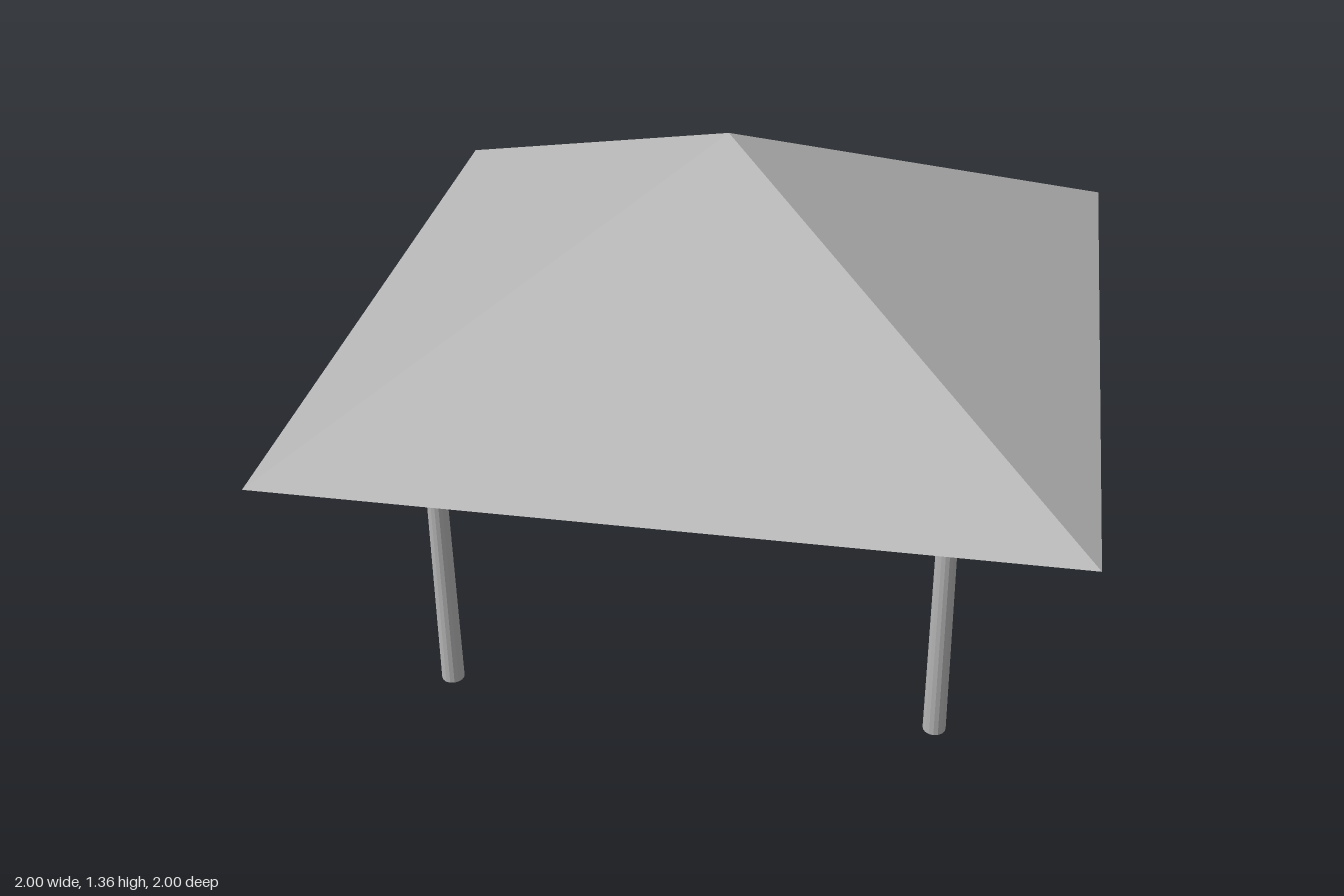
import * as THREE from 'three';

export function createModel() {
  const group = new THREE.Group();
  const grey = new THREE.MeshStandardMaterial({ color: 0xb4b4b4, flatShading: true, side: THREE.DoubleSide });
  grey.name = 'grey';

  // Open four-sided canopy shell
  function canopy(name, half, base, height) {
    const geo = new THREE.ConeGeometry(half * Math.SQRT2, height, 4, 1, true);
    geo.rotateY(Math.PI / 4);
    geo.translate(0, base + height / 2, 0);
    const mesh = new THREE.Mesh(geo, grey);
    mesh.name = name;
    group.add(mesh);
  }
  canopy('outerRoof', 1, 0.8, 0.555);
  canopy('innerRoof', 0.913, 0.755, 0.555);

  // Four slightly tapered corner posts
  const postHeight = 0.83;
  const postGeo = new THREE.CylinderGeometry(0.025, 0.03, postHeight, 16);
  postGeo.translate(0, postHeight / 2, 0);
  for (const [x, xName] of [[1, 'Left'], [-1, 'Right']]) {
    for (const [z, zName] of [[1, 'front'], [-1, 'back']]) {
      const post = new THREE.Mesh(postGeo, grey);
      post.name = `${zName}${xName}Post`;
      post.position.set(x * 0.648, 0, z * 0.648);
      group.add(post);
    }
  }
  return group;
}
